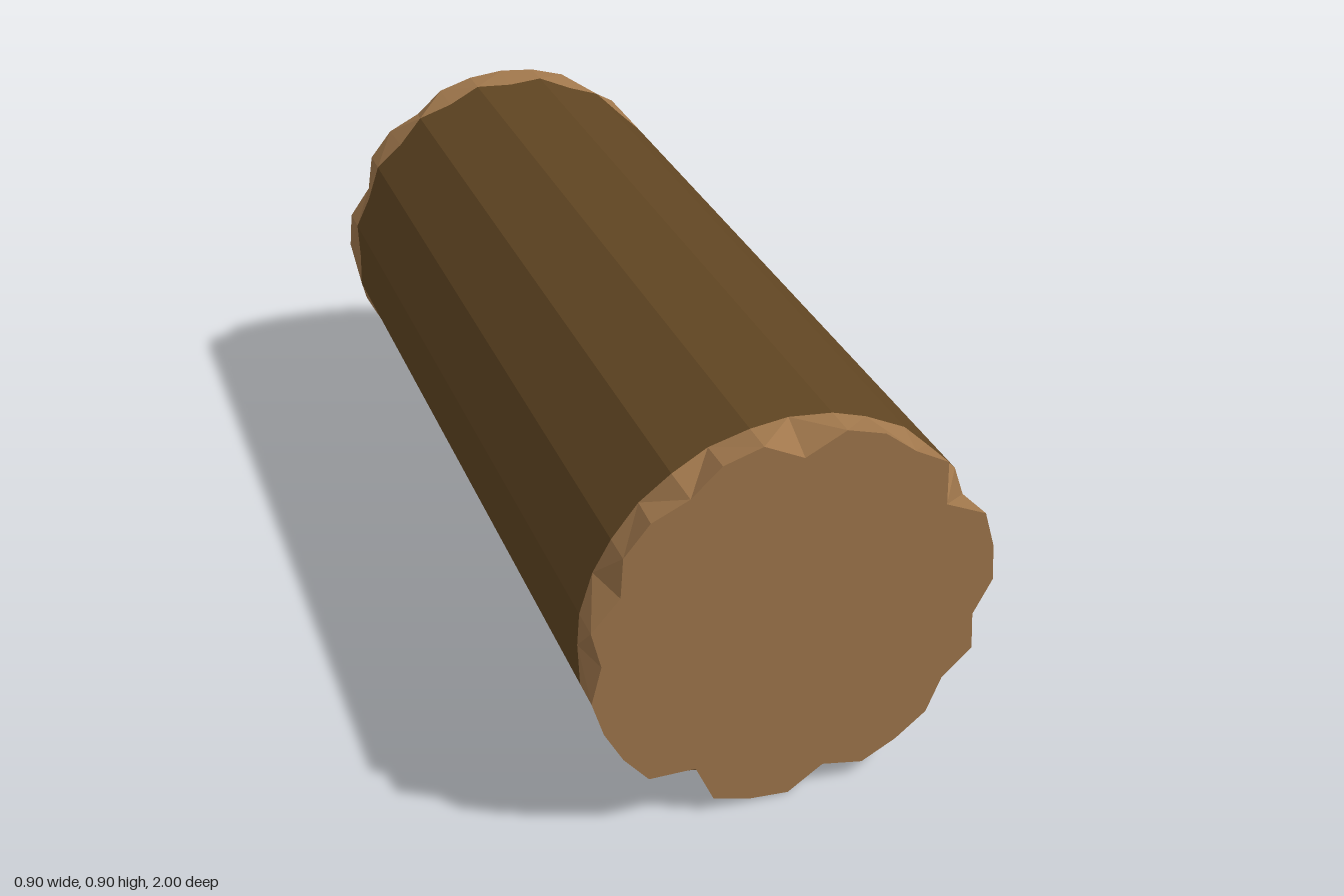
import * as THREE from 'three';

const N = 32, R = 0.45, CY = 0.45;
const FLAT = R * Math.cos(Math.PI / 16); // mid-face distance of the 16-sided trunk

// Ring of N points around the log axis; radius and z are given per step
function ring(radiusAt, zAt) {
  return Array.from({ length: N }, (_, k) => {
    const a = (k * Math.PI * 2) / N, r = radiusAt(k);
    return new THREE.Vector3(r * Math.cos(a), CY + r * Math.sin(a), zAt(k));
  });
}

// Side wall from ring a (lower z) to ring b (higher z)
function wall(a, b) {
  const pts = [];
  for (let i = 0; i < N; i++) {
    const j = (i + 1) % N;
    // run the diagonal from the notched (even or odd) corners symmetrically
    if (i % 2) pts.push(a[i], a[j], b[i], a[j], b[j], b[i]);
    else pts.push(a[i], a[j], b[j], a[i], b[j], b[i]);
  }
  return pts;
}

// Flat end face closing a ring
function cap(r, front) {
  const c = new THREE.Vector3(0, CY, r[0].z), pts = [];
  for (let i = 0; i < N; i++) {
    const j = (i + 1) % N;
    pts.push(c, front ? r[i] : r[j], front ? r[j] : r[i]);
  }
  return pts;
}

function part(name, pts, material) {
  const g = new THREE.BufferGeometry().setFromPoints(pts);
  g.computeVertexNormals();
  const mesh = new THREE.Mesh(g, material);
  mesh.name = name;
  return mesh;
}

export function createModel() {
  const bark = new THREE.MeshStandardMaterial({ color: 0x604522, flatShading: true });
  bark.name = 'dark bark';
  const wood = new THREE.MeshStandardMaterial({ color: 0xa0774c, flatShading: true });
  wood.name = 'cut wood';

  // Chipped rim points: step around the rim -> reduced radius
  const frontChips = { 3: 0.388, 5: 0.434, 8: 0.397, 11: 0.427, 14: 0.411, 16: 0.42,
    21: 0.386, 25: 0.403, 29: 0.421, 31: 0.417 };
  const backChips = { 2: 0.38, 5: 0.43, 11: 0.43, 14: 0.42, 17: 0.375, 20: 0.43,
    22: 0.41, 25: 0.42, 28: 0.41, 30: 0.43 };

  // Scalloped bark edges and chipped outer rims
  const trunkR = (k) => (k % 2 ? R : FLAT);
  const edgeZ = (k) => (k % 2 ? 0.93 : 0.915);
  const barkFront = ring(trunkR, edgeZ);
  const barkBack = ring(trunkR, (k) => -edgeZ(k));
  const rimFront = ring((k) => frontChips[k] ?? R, () => 1);
  const rimBack = ring((k) => backChips[k] ?? R, () => -1);

  const log = new THREE.Group();
  log.name = 'log';
  log.add(
    part('bark', wall(barkBack, barkFront), bark),
    part('frontRim', wall(barkFront, rimFront), wood),
    part('backRim', wall(rimBack, barkBack), wood),
    part('frontEnd', cap(rimFront, true), wood),
    part('backEnd', cap(rimBack, false), wood),
  );
  return log;
}
